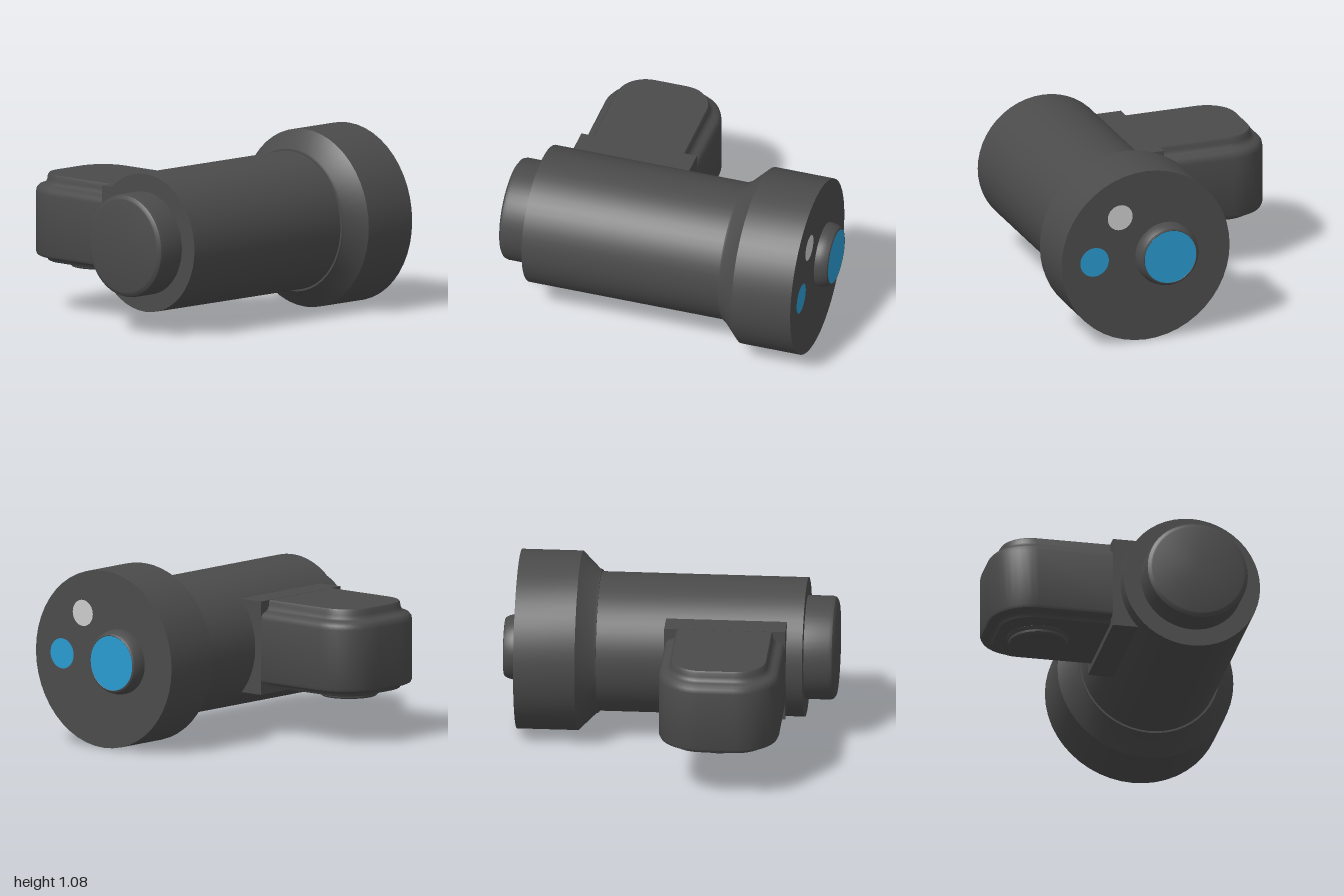
import * as THREE from 'three';
import { toCreasedNormals } from 'three/addons/utils/BufferGeometryUtils.js';

const AXIS_X = 0.32, AXIS_Y = 0.543;
const dark = new THREE.MeshStandardMaterial({ color: 0x4b4b4b });
const blue = new THREE.MeshStandardMaterial({ color: 0x2a9bd0 });
const grey = new THREE.MeshStandardMaterial({ color: 0xcccccc });

function part(name, geometry, material = dark) {
  const mesh = new THREE.Mesh(geometry, material);
  mesh.name = name;
  return mesh;
}

// Turned part from [radius, position] pairs, running up the y axis
function turned(profile, segments = 48) {
  const points = profile.map(([r, p]) => new THREE.Vector2(r, p));
  return toCreasedNormals(new THREE.LatheGeometry(points, segments), 0.5);
}

// Turned part laid along z, around the main axis shifted by dx, dy
function alongZ(name, profile, dx = 0, dy = 0) {
  const mesh = part(name, turned(profile).rotateX(Math.PI / 2));
  mesh.position.set(AXIS_X + dx, AXIS_Y + dy, 0);
  return mesh;
}

// Flat disc facing the back
function backDisc(name, radius, dx, dy, z, material) {
  const mesh = part(name, new THREE.CircleGeometry(radius, 40).rotateY(Math.PI), material);
  mesh.position.set(AXIS_X + dx, AXIS_Y + dy, z);
  return mesh;
}

// Grip outline seen from above: straight sides, rounded outer end, shrunk by inset
function gripOutline(inset) {
  const radius = 0.26 - inset, half = 0.363 - inset;
  const left = -0.86 + inset, midZ = 0.352, steps = 10;
  const points = [[0.05, midZ - half]];
  for (const side of [-1, 1]) {
    for (let i = 0; i <= steps; i++) {
      const t = (i / steps) * Math.PI / 2;
      const a = side < 0 ? t : Math.PI / 2 - t;
      points.push([
        left + radius - radius * Math.sin(a),
        midZ + side * (half - radius + radius * Math.cos(a)),
      ]);
    }
  }
  points.push([0.05, midZ + half]);
  return points;
}

// Stacks grip outlines from bottom to top and closes both ends
function gripGeometry(levels) {
  const positions = [], index = [];
  let n = 0;
  for (const [inset, y] of levels) {
    const ring = gripOutline(inset);
    n = ring.length;
    for (const [x, z] of ring) positions.push(x, y, z);
  }
  for (let k = 0; k < levels.length - 1; k++) {
    for (let i = 0; i < n; i++) {
      const j = (i + 1) % n;
      const a = k * n + i, b = k * n + j, c = a + n, d = b + n;
      index.push(a, b, c, b, d, c);
    }
  }
  const top = (levels.length - 1) * n;
  for (let i = 1; i < n - 1; i++) {
    index.push(0, i + 1, i);
    index.push(top, top + i, top + i + 1);
  }
  const geometry = new THREE.BufferGeometry();
  geometry.setAttribute('position', new THREE.Float32BufferAttribute(positions, 3));
  geometry.setIndex(index);
  return toCreasedNormals(geometry, 0.6);
}

export function createModel() {
  const model = new THREE.Group();
  model.name = 'handheldScope';
  // The whole device stands very slightly turned
  model.rotation.y = 0.008;

  // Main barrel and front cap
  model.add(alongZ('barrel', [[0, -0.5], [0.42, -0.5], [0.42, 0.815], [0, 0.815]]));
  model.add(alongZ('frontCap', [
    [0, 0.78], [0.313, 0.78], [0.313, 0.965], [0.307, 0.985], [0.29, 0.997], [0.28, 1], [0, 1],
  ]));

  // Wide back head, tapering to the barrel with a small lip
  model.add(alongZ('head', [
    [0, -0.92], [0.541, -0.92], [0.541, -0.55], [0.437, -0.445], [0.432, -0.43], [0.41, -0.43],
  ]));

  // Raised lens and two flush windows on the back
  model.add(alongZ('lensRim', [
    [0, -0.996], [0.163, -0.996], [0.168, -1], [0.178, -0.995], [0.189, -0.975],
    [0.197, -0.945], [0.197, -0.91],
  ], -0.13));
  model.add(backDisc('lensGlass', 0.166, -0.13, 0, -0.999, blue));
  model.add(backDisc('blueWindow', 0.092, 0.33, 0, -0.923, blue));
  model.add(backDisc('greyWindow', 0.08, 0.165, 0.265, -0.923, grey));

  // Side grip with soft edges and raised top and bottom panels
  model.add(part('grip', gripGeometry([
    [0.085, 0.298], [0.075, 0.302], [0.066, 0.318], [0.05, 0.326], [0.025, 0.33],
    [0.008, 0.338], [0, 0.355],
    [0, 0.715], [0.005, 0.74], [0.02, 0.757], [0.045, 0.765], [0.06, 0.775],
    [0.07, 0.795], [0.072, 0.818], [0.08, 0.83],
  ])));

  // Square collar joining grip and barrel
  const collar = part('collar', new THREE.BoxGeometry(0.3, 0.57, 0.73));
  collar.position.set(0.005, 0.546, 0.352);
  model.add(collar);

  // Round button under the grip
  const button = part('gripButton', turned([
    [0, 0.26], [0.165, 0.26], [0.174, 0.267], [0.176, 0.28], [0.19, 0.297], [0.19, 0.31],
  ]));
  button.position.set(-0.53, 0, 0.352);
  model.add(button);

  const root = new THREE.Group();
  root.add(model);
  return root;
}
